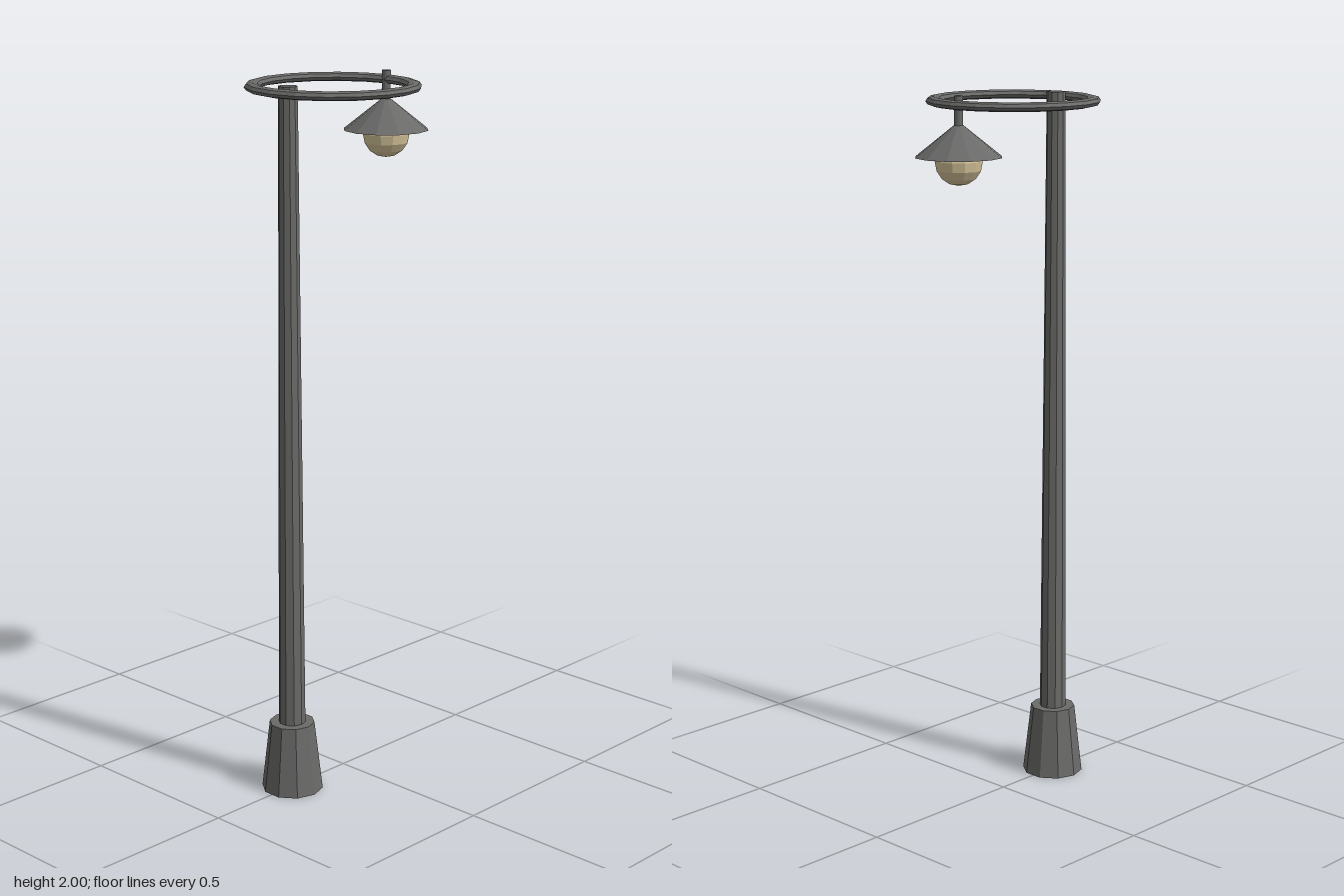
import * as THREE from 'three';

export function createModel() {
  const model = new THREE.Group();
  model.name = 'streetLamp';

  const metal = new THREE.MeshStandardMaterial({ color: 0x6a6a69, flatShading: true });
  metal.name = 'grey metal';
  const glass = new THREE.MeshStandardMaterial({ color: 0xd8c69c, flatShading: true });
  glass.name = 'warm glass';

  const poleX = -0.209, lampX = 0.17;

  const add = (name, geometry, material, x, y) => {
    const mesh = new THREE.Mesh(geometry, material);
    mesh.name = name;
    mesh.position.set(x, y, 0);
    model.add(mesh);
    return mesh;
  };
  // Upright tapered cylinder given by its bottom and top heights
  const post = (name, x, y0, y1, rBottom, rTop, sides) =>
    add(name, new THREE.CylinderGeometry(rTop, rBottom, y1 - y0, sides), metal, x, (y0 + y1) / 2);

  // Foot and tapering pole
  post('base', poleX, 0, 0.2, 0.087, 0.064, 10);
  post('pole', poleX, 0.19, 1.99, 0.038, 0.026, 10);

  // Flattened horizontal ring carrying the lamp
  const ringGeometry = new THREE.TorusGeometry(0.218, 0.021, 8, 18);
  ringGeometry.rotateX(Math.PI / 2).scale(1, 0.6, 1);
  add('ring', ringGeometry, metal, -0.039, 1.975);

  // Hanging lamp
  post('hanger', lampX, 1.9, 2, 0.0125, 0.0125, 12);
  post('shade', lampX, 1.838, 1.922, 0.119, 0.013, 12);
  add('bulb', new THREE.SphereGeometry(0.066, 12, 8), glass, lampX, 1.828);

  return model;
}
